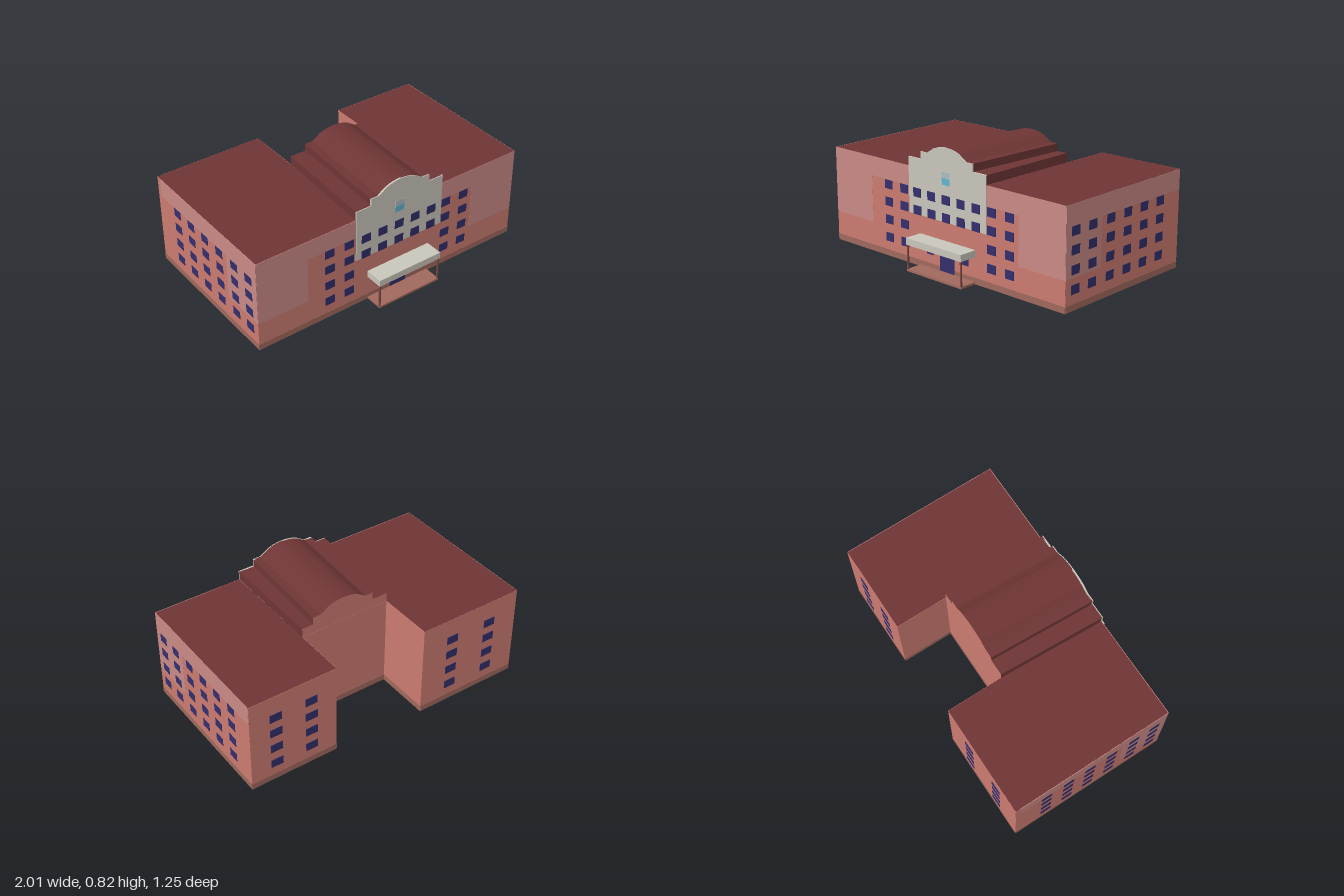
import * as THREE from 'three';

const COLORS = {
  brick: 0xcb7b71, pale: 0xc98a86, roof: 0x6f3535, plinth: 0xa0685c,
  glass: 0x332e6c, stone: 0xc9c6ba, sky: 0x5fb4d0, haze: 0xa9bcc0, post: 0x7a4a42,
};
const MATS = {};
for (const k in COLORS) {
  MATS[k] = new THREE.MeshStandardMaterial({ color: COLORS[k], side: THREE.DoubleSide, flatShading: true });
}

const H = 0.645, FRONT = 0.495, COURT = -0.235;
const ROWS = [0.13, 0.25, 0.37, 0.485];

// Footprint of the U-shaped block, as [x, z]
const PLAN = [
  [-1, FRONT], [1, FRONT], [1, -0.595], [0.388, -0.595],
  [0.388, COURT], [-0.25, COURT], [-0.25, -0.622], [-1, -0.622],
];

// Right half of the stepped and curved gable, measured from its centre line
const HALF = [[0, 0.817], [0.04, 0.814], [0.075, 0.807], [0.11, 0.795], [0.14, 0.775],
  [0.17, 0.757], [0.225, 0.757], [0.225, 0.707], [0.335, 0.707]];

function profile(centre, min, max) {
  const left = HALF.slice(1).reverse().map(([x, y]) => [-x, y]);
  return [...left, ...HALF].map(([x, y]) => [THREE.MathUtils.clamp(x + centre, min, max), y]);
}

export function createModel() {
  const model = new THREE.Group();

  const add = (parent, name, geo, mat) => {
    const mesh = new THREE.Mesh(geo, MATS[mat]);
    mesh.name = name;
    parent.add(mesh);
    return mesh;
  };
  const box = (parent, name, mat, x0, x1, y0, y1, z0, z1) => {
    const m = add(parent, name, new THREE.BoxGeometry(x1 - x0, y1 - y0, z1 - z0), mat);
    m.position.set((x0 + x1) / 2, (y0 + y1) / 2, (z0 + z1) / 2);
    return m;
  };
  // Thin upright panel centred on the line from a to b
  const panel = (parent, name, mat, a, b, y0, y1, t) => {
    const dx = b[0] - a[0], dz = b[1] - a[1];
    const m = add(parent, name, new THREE.BoxGeometry(Math.hypot(dx, dz), y1 - y0, t), mat);
    m.position.set((a[0] + b[0]) / 2, (y0 + y1) / 2, (a[1] + b[1]) / 2);
    m.rotation.y = -Math.atan2(dz, dx);
    return m;
  };
  const group = (name) => {
    const g = new THREE.Group();
    g.name = name;
    model.add(g);
    return g;
  };

  // Outer walls and plinth, open underneath
  const walls = group('walls');
  PLAN.forEach((a, i) => {
    const b = PLAN[(i + 1) % PLAN.length];
    panel(walls, 'wall', 'brick', a, b, 0, H, 0.002);
    panel(walls, 'plinth', 'plinth', a, b, 0, 0.042, 0.005);
  });

  // Paler wall fields at the front corners and along the top
  const pale = group('paleWallFields');
  panel(pale, 'frontBand', 'pale', [-1, FRONT], [1, FRONT], 0.515, H, 0.004);
  for (const s of [-1, 1]) {
    panel(pale, 'frontCornerField', 'pale', [s, FRONT], [s * 0.64, FRONT], 0.2, 0.515, 0.004);
    panel(pale, 'sideBand', 'pale', [s, FRONT], [s, -0.59], 0.515, H, 0.004);
    panel(pale, 'sideCornerField', 'pale', [s, FRONT], [s, 0.175], 0.2, 0.515, 0.004);
  }

  // Windows
  const windows = group('windows');
  const paneX = (x, y, z, w = 0.07, t = 0.008) =>
    panel(windows, 'window', 'glass', [x - w / 2, z], [x + w / 2, z], y - 0.029, y + 0.029, t);
  for (const y of ROWS) {
    for (const x of [-0.48, -0.335, 0.425, 0.57]) paneX(x, y, FRONT);
    for (const x of [-0.78, -0.48]) paneX(x, y, -0.622, 0.085);
    for (const x of [0.57, 0.82]) paneX(x, y, -0.595, 0.085);
    for (const z of [0.41, 0.257, 0.09, -0.073, -0.233, -0.395]) {
      for (const s of [-1, 1]) {
        panel(windows, 'window', 'glass', [s * 0.999, z - 0.037], [s * 0.999, z + 0.037], y - 0.029, y + 0.029, 0.008);
      }
    }
  }
  for (const y of ROWS.slice(2)) {
    for (const x of [-0.21, -0.083, 0.045, 0.172, 0.3]) paneX(x, y, FRONT, 0.068, 0.018);
  }
  for (const x of [-0.105, 0.2]) paneX(x, ROWS[0], FRONT, 0.06);
  panel(windows, 'door', 'glass', [-0.015, FRONT], [0.11, FRONT], 0.015, 0.16, 0.01);

  // Flat roofs of the wings
  const roof = group('roof');
  const deck = (x0, x1, z0, z1) => {
    const m = add(roof, 'wingRoof', new THREE.PlaneGeometry(x1 - x0, z1 - z0), 'roof');
    m.rotation.x = -Math.PI / 2;
    m.position.set((x0 + x1) / 2, H, (z0 + z1) / 2);
  };
  deck(-1, -0.25, -0.622, FRONT);
  deck(0.388, 1, -0.595, FRONT);

  // Stepped vault over the centre, running slightly askew from front to back
  const frontLine = [[-0.285, H], ...profile(0.05, -0.285, 0.385), [0.385, H]];
  const backLine = [[-0.25, H], ...profile(0.085, -0.25, 0.388), [0.388, H]];
  const pos = [], idx = [];
  frontLine.forEach(([x, y], i) => {
    pos.push(x, y, FRONT, backLine[i][0], backLine[i][1], COURT);
    if (i) {
      const k = 2 * i;
      idx.push(k - 2, k, k - 1, k, k + 1, k - 1);
    }
  });
  let vault = new THREE.BufferGeometry();
  vault.setAttribute('position', new THREE.Float32BufferAttribute(pos, 3));
  vault.setIndex(idx);
  vault = vault.toNonIndexed();
  vault.computeVertexNormals();
  add(roof, 'centreRoof', vault, 'roof');

  // Rear end of the vault
  const toShape = (pts) => new THREE.Shape(pts.map(([x, y]) => new THREE.Vector2(x, y)));
  const rear = add(walls, 'rearGable', new THREE.ShapeGeometry(toShape(backLine)), 'brick');
  rear.position.z = COURT;

  // Stone front gable with its small window
  const gable = group('frontGable');
  const stone = toShape([[-0.285, 0.342], ...profile(0.05, -0.285, 0.385), [0.385, 0.342]]);
  const slab = add(gable, 'gableFace', new THREE.ExtrudeGeometry(stone, { depth: 0.012, bevelEnabled: false }), 'stone');
  slab.position.z = FRONT - 0.006;
  panel(gable, 'gableWindowLower', 'sky', [0.013, FRONT], [0.08, FRONT], 0.58, 0.622, 0.016);
  panel(gable, 'gableWindowUpper', 'haze', [0.013, FRONT], [0.08, FRONT], 0.622, 0.662, 0.016);

  // Entrance porch
  const porch = group('porch');
  box(porch, 'canopy', 'stone', -0.193, 0.29, 0.175, 0.22, 0.48, 0.622);
  box(porch, 'porchFloor', 'plinth', -0.19, 0.287, 0, 0.014, FRONT, 0.62);
  for (const x of [-0.19, 0.277]) box(porch, 'porchPost', 'post', x, x + 0.01, 0.014, 0.175, 0.608, 0.618);

  return model;
}
